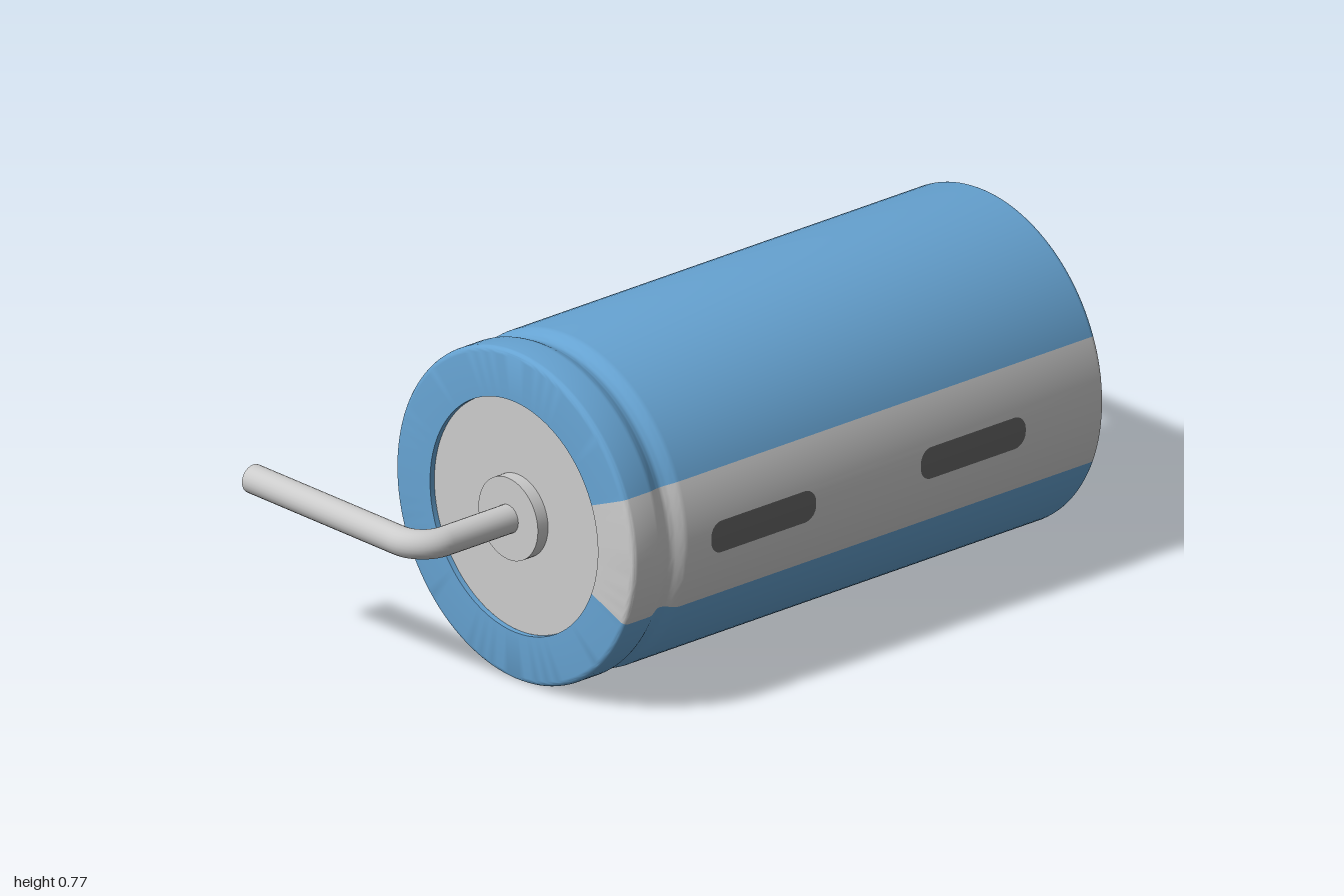
import * as THREE from 'three';
import { toCreasedNormals } from 'three/addons/utils/BufferGeometryUtils.js';

const R = 0.385;      // can radius
const HALF = 0.693;   // half length of the can
const RIM = 0.271;    // radius of the opening in the sleeve ends
const CAP = 0.68;     // x of the recessed end faces
const GROOVE = -0.575;

const grey = new THREE.MeshStandardMaterial({ color: 0xcccccc });
const blue = new THREE.MeshStandardMaterial({ color: 0x66a3d2 });
const dark = new THREE.MeshStandardMaterial({ color: 0x666666 });

function add(parent, name, geometry, material) {
  const mesh = new THREE.Mesh(geometry, material);
  mesh.name = name;
  parent.add(mesh);
  return mesh;
}

// Sleeve outline as (radius, position along the axis), with rounded rims and one crimp groove
function sleeveProfile() {
  const r = 0.014, steps = 5, points = [new THREE.Vector2(RIM, -CAP)];
  points.push(new THREE.Vector2(RIM, -HALF));
  for (let i = 0; i <= steps; i++) {
    const a = (i / steps) * Math.PI / 2;
    points.push(new THREE.Vector2(R - r + r * Math.sin(a), -HALF + r - r * Math.cos(a)));
  }
  for (let i = 0; i <= 16; i++) {
    const t = i / 8 - 1;
    const depth = 0.016 * Math.cos(t * Math.PI / 2) ** 2;
    points.push(new THREE.Vector2(R - depth, GROOVE + t * 0.045));
  }
  for (let i = 0; i <= steps; i++) {
    const a = (i / steps) * Math.PI / 2;
    points.push(new THREE.Vector2(R - r + r * Math.cos(a), HALF - r + r * Math.sin(a)));
  }
  points.push(new THREE.Vector2(RIM, HALF), new THREE.Vector2(RIM, CAP));
  return points;
}

// Sector of the sleeve; angle 0 faces the front
function sleeveSector(start, length, segments) {
  const geometry = new THREE.LatheGeometry(sleeveProfile(), segments, start, length);
  return toCreasedNormals(geometry.rotateZ(-Math.PI / 2), 0.6);
}

// Rounded rectangle wrapped onto the front of the can
function dashGeometry(halfLength, halfHeight, corner) {
  const geometry = new THREE.PlaneGeometry(2, 2, 1, 24);
  const p = geometry.attributes.position;
  const radius = R + 0.002;
  for (let i = 0; i < p.count; i++) {
    const y = halfHeight * Math.sin(p.getY(i) * Math.PI / 2);
    const over = Math.max(0, Math.abs(y) - (halfHeight - corner));
    const x = halfLength - corner + Math.sqrt(Math.max(0, corner * corner - over * over));
    p.setXYZ(i, p.getX(i) * x, y, Math.sqrt(radius * radius - y * y));
  }
  geometry.computeVertexNormals();
  return geometry;
}

// Wire leaving the can along x, then bending towards the back
function leadPath(side, endX, endZ, bend) {
  const v = (x, z) => new THREE.Vector3(side * x, 0, z);
  const k = bend * (1 - 0.5523);
  const path = new THREE.CurvePath();
  path.add(new THREE.LineCurve3(v(0.67, 0), v(endX - bend, 0)));
  path.add(new THREE.CubicBezierCurve3(v(endX - bend, 0), v(endX - k, 0), v(endX, -k), v(endX, -bend)));
  path.add(new THREE.LineCurve3(v(endX, -bend), v(endX, endZ)));
  return path;
}

export function createModel() {
  const model = new THREE.Group();
  model.name = 'axialCapacitor';
  const body = new THREE.Group();
  body.name = 'body';
  body.position.set(0, 0.386, 0.078);
  model.add(body);

  // Coloured sleeve with a pale polarity stripe
  const half = Math.PI / 8;
  add(body, 'sleeve', sleeveSector(half, 2 * Math.PI - 2 * half, 112), blue);
  add(body, 'polarityStripe', sleeveSector(-half, 2 * half, 16), grey);

  // Two dashes on the stripe
  for (const x of [-0.311, 0.305]) {
    add(body, 'polarityDash', dashGeometry(0.154, 0.037, 0.032), dark).position.x = x;
  }

  // Inner can showing as recessed end faces
  const can = new THREE.CylinderGeometry(RIM, RIM, 2 * CAP, 96).rotateZ(Math.PI / 2);
  add(body, 'innerCan', can, grey);

  // Terminal boss and bent wire at each end
  const wire = 0.033, endX = 0.967, endZ = -0.541;
  for (const side of [-1, 1]) {
    const boss = new THREE.CylinderGeometry(0.096, 0.096, 0.04, 48).rotateZ(Math.PI / 2);
    add(body, 'terminalBoss', boss, grey).position.x = side * 0.69;
    const tube = new THREE.TubeGeometry(leadPath(side, endX, endZ, 0.068), 96, wire, 24);
    add(body, 'lead', tube, grey);
    const tip = add(body, 'leadTip', new THREE.CircleGeometry(wire, 24).rotateY(Math.PI), grey);
    tip.position.set(side * endX, 0, endZ);
  }
  return model;
}
